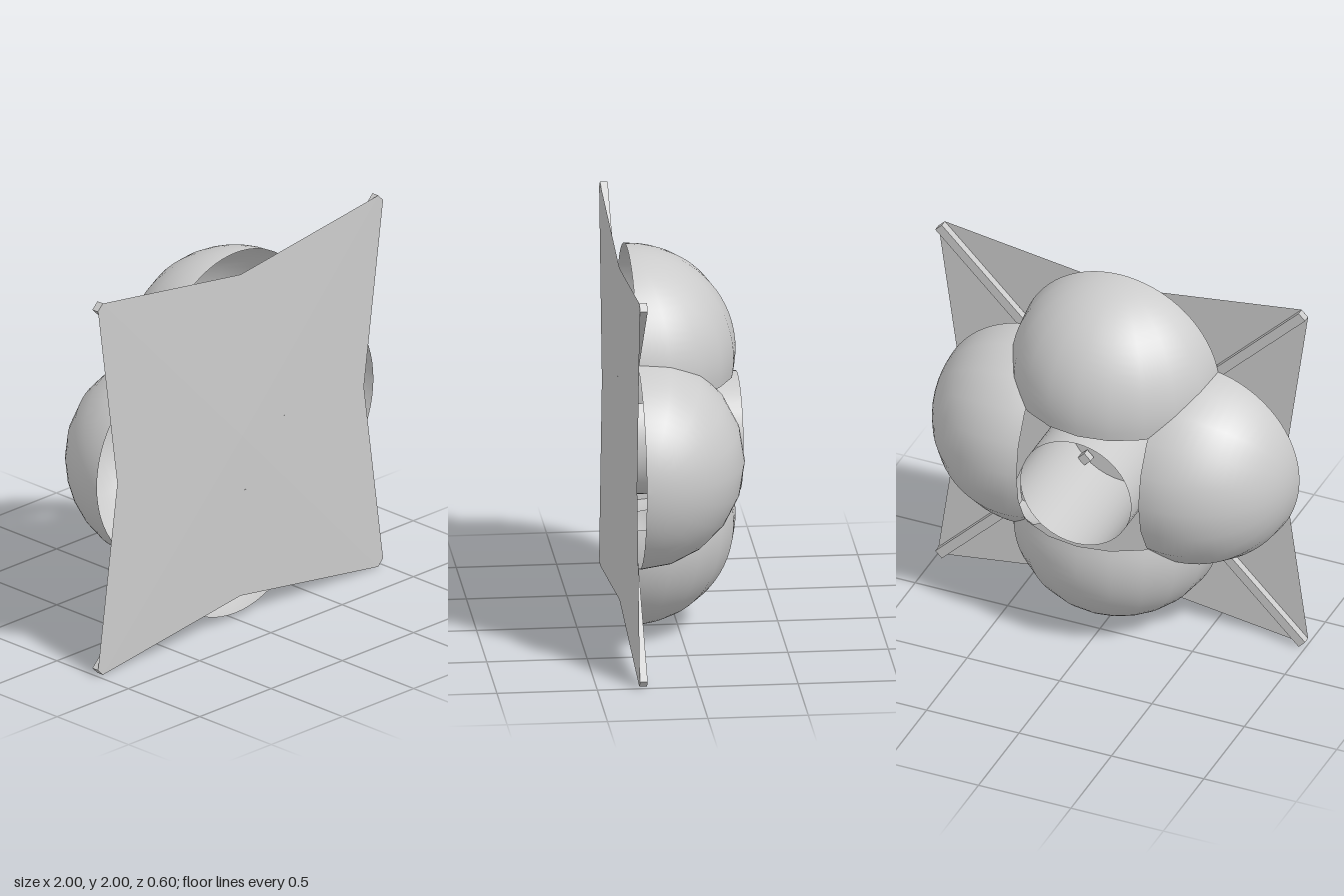
import * as THREE from 'three';

const DOME_R = 0.54;      // dome radius
const DOME_OFFSET = 0.43; // dome centre from the hub axis
const DOME_CUT = 0.33;    // flat inner cut, leaving room for the hub
const BACK_Z = 0.25;      // open rim plane of the domes
const TUBE_R = 0.3;

export function createModel() {
  const model = new THREE.Group();
  const material = new THREE.MeshStandardMaterial({ color: 0xcccccc, side: THREE.DoubleSide });
  const flat = material.clone();
  flat.flatShading = true;

  const add = (name, geometry, mat, parent = model) => {
    const mesh = new THREE.Mesh(geometry, mat);
    mesh.name = name;
    parent.add(mesh);
    return mesh;
  };

  // Open half dome, revolved around its radial axis and cut flat near the hub
  const start = Math.asin((DOME_CUT - DOME_OFFSET) / DOME_R);
  const profile = [];
  for (let i = 0; i <= 20; i++) {
    const a = start + (Math.PI / 2 - start) * i / 20;
    profile.push(new THREE.Vector2(DOME_R * Math.cos(a), DOME_R * Math.sin(a)));
  }
  const domeGeometry = new THREE.LatheGeometry(profile, 10, Math.PI / 2, Math.PI)
    .translate(0, DOME_OFFSET, BACK_Z);

  // Square rib lying along a diagonal, reaching just inside the hub tube
  const ribStart = 0.25, ribEnd = 1.39;
  const ribGeometry = new THREE.BoxGeometry(0.05, ribEnd - ribStart, 0.038)
    .translate(0, (ribStart + ribEnd) / 2, 0.268);

  const domes = new THREE.Group();
  domes.name = 'domes';
  const ribs = new THREE.Group();
  ribs.name = 'ribs';
  model.add(domes, ribs);
  for (let i = 0; i < 4; i++) {
    add('dome', domeGeometry, material, domes).rotation.z = i * Math.PI / 2;
    add('rib', ribGeometry, flat, ribs).rotation.z = Math.PI / 4 + i * Math.PI / 2;
  }

  // Hub tube, open at the back
  const tubeBack = -0.3, tubeFront = 0.296;
  add('hubTube', new THREE.CylinderGeometry(TUBE_R, TUBE_R, tubeFront - tubeBack, 40, 1, true)
    .rotateX(Math.PI / 2)
    .translate(0, 0, (tubeBack + tubeFront) / 2), material);

  // Thin four-pointed canopy, a shallow fan with blunted tips
  const outline = [];
  for (let i = 0; i < 4; i++) {
    for (const [x, y] of [[0.865, 0], [1, 0.965], [0.965, 1]]) {
      outline.push(new THREE.Vector3(x, y, 0.288)
        .applyAxisAngle(new THREE.Vector3(0, 0, 1), i * Math.PI / 2));
    }
  }
  const centre = new THREE.Vector3(0, 0, 0.3);
  const triangles = outline.flatMap((p, i) => [centre, p, outline[(i + 1) % outline.length]]);
  const canopyGeometry = new THREE.BufferGeometry().setFromPoints(triangles);
  canopyGeometry.computeVertexNormals();
  add('canopy', canopyGeometry, flat);

  model.position.y = 1;
  const root = new THREE.Group();
  root.name = 'canopyAssembly';
  root.add(model);
  return root;
}
